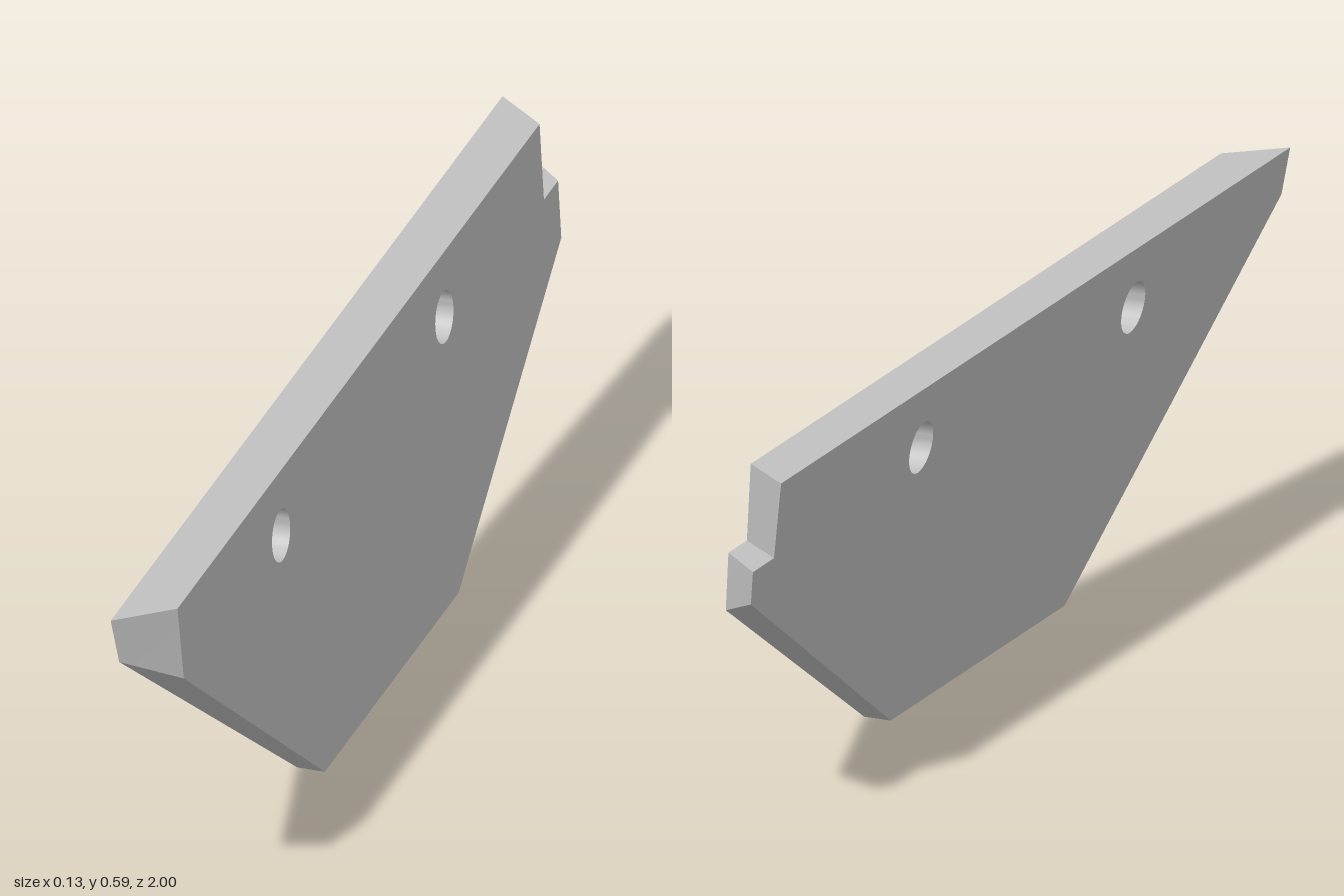
import * as THREE from 'three';
import { toCreasedNormals } from 'three/addons/utils/BufferGeometryUtils.js';

const HEIGHT = 0.588;

// The two broad faces lean and spread apart towards the top
const outerX = (y) => 0.064 - 0.042 * (y / HEIGHT);
const innerX = (y) => 0.017 - 0.083 * (y / HEIGHT);

// Outlines as [z, y], anticlockwise seen from +x
const outerOutline = [
  [0.925, HEIGHT], [0.92, 0.46], [0.32, 0], [-0.34, 0],
  [-0.92, 0.355], [-0.925, 0.455], [-0.855, 0.455], [-0.861, HEIGHT],
];
const innerOutline = [
  [1.0, HEIGHT], [0.99, 0.51], [0.32, 0], [-0.34, 0],
  [-0.99, 0.396], [-1.0, 0.455], [-0.92, 0.455], [-0.933, HEIGHT],
];

// Bolt hole, clockwise seen from +x
function holeLoop(z, y, radius, segments = 32) {
  return Array.from({ length: segments }, (_, i) => {
    const a = (i / segments) * Math.PI * 2;
    return [z + Math.cos(a) * radius, y + Math.sin(a) * radius];
  });
}

function buildBlade() {
  const positions = [];
  const triangle = (...points) => points.forEach((p) => positions.push(...p));
  const place = (xOf) => ([z, y]) => [xOf(y), y, z];
  const holes = [holeLoop(0.436, 0.481, 0.044), holeLoop(-0.369, 0.481, 0.044)];

  // Broad faces with the holes cut out
  function face(outline, xOf, flip) {
    const flat = (loop) => loop.map(([z, y]) => new THREE.Vector2(-z, y));
    const contour = flat(outline);
    const cuts = holes.map(flat);
    const points = [contour, ...cuts].flat();
    for (const tri of THREE.ShapeUtils.triangulateShape(contour, cuts)) {
      const corners = tri.map((i) => points[i]);
      if ((THREE.ShapeUtils.area(corners) < 0) !== flip) corners.reverse();
      triangle(...corners.map((p) => [xOf(p.y), p.y, -p.x]));
    }
  }
  face(outerOutline, outerX, false);
  face(innerOutline, innerX, true);

  // Edges and hole walls joining the two faces
  function wall(outerLoop, innerLoop) {
    const a = outerLoop.map(place(outerX));
    const b = innerLoop.map(place(innerX));
    a.forEach((_, i) => {
      const j = (i + 1) % a.length;
      triangle(a[i], b[i], b[j]);
      triangle(a[i], b[j], a[j]);
    });
  }
  wall(outerOutline, innerOutline);
  holes.forEach((loop) => wall(loop, loop));

  const geometry = new THREE.BufferGeometry();
  geometry.setAttribute('position', new THREE.Float32BufferAttribute(positions, 3));
  return toCreasedNormals(geometry, 0.4);
}

export function createModel() {
  const group = new THREE.Group();
  group.name = 'wedgePlate';
  const steel = new THREE.MeshStandardMaterial({ color: 0xc0c0c0 });
  steel.name = 'greySteel';

  const blade = new THREE.Mesh(buildBlade(), steel);
  blade.name = 'notchedBlade';
  group.add(blade);
  return group;
}
